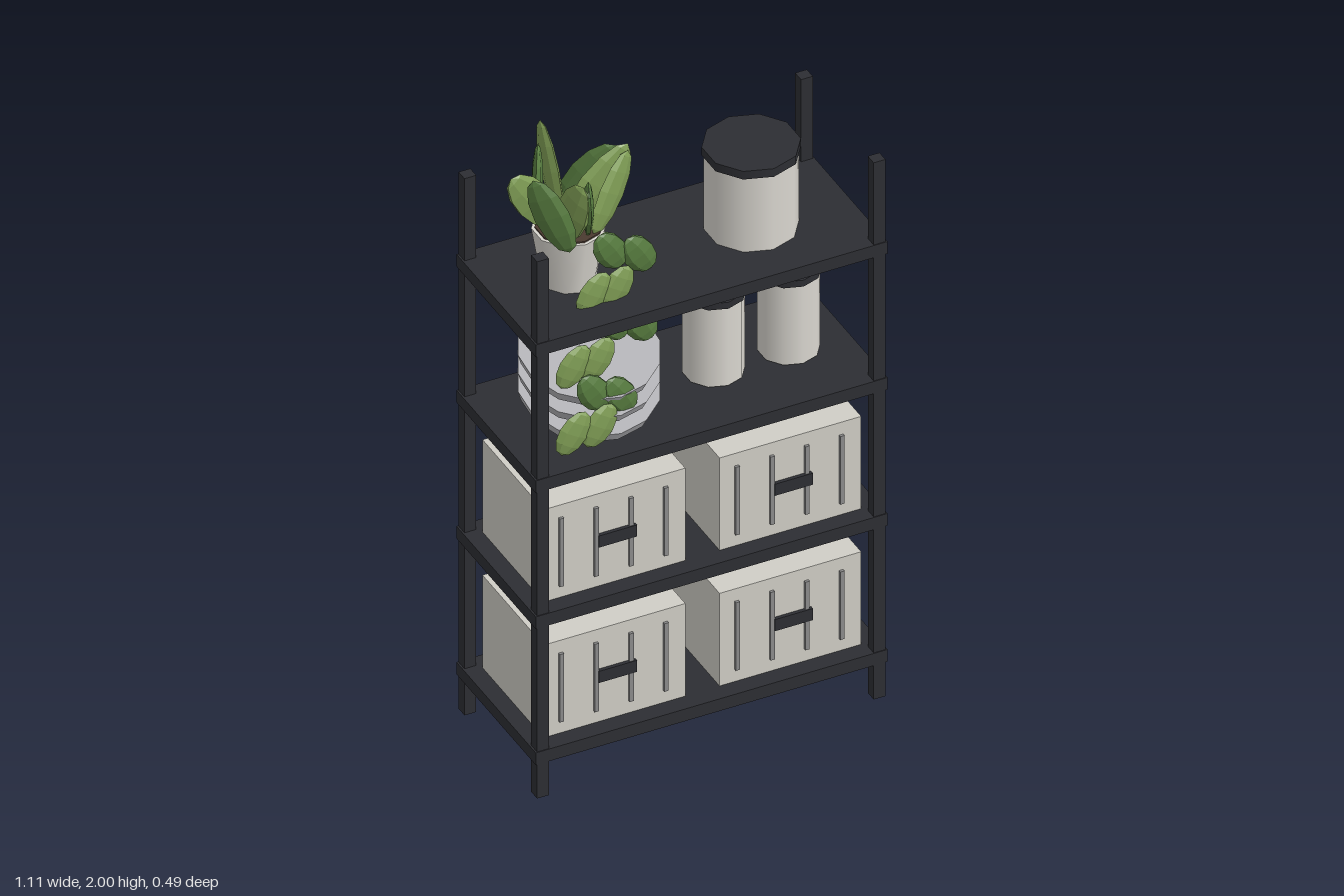
import * as THREE from 'three';

const mat = (color, flatShading = false) => new THREE.MeshStandardMaterial({ color, flatShading });

export function createModel() {
  const model = new THREE.Group();
  const dark = mat(0x2d2e33), cream = mat(0xd0cec6), ceramic = mat(0xdad7d0);
  const plateGrey = mat(0xb2b2b6), ribGrey = mat(0x8c8c8c), soilBrown = mat(0x4a3a30);
  const lightLeaf = mat(0x7f9d55, true), darkLeaf = mat(0x587d40, true);

  function add(parent, name, geometry, material, x, y, z) {
    const mesh = new THREE.Mesh(geometry, material);
    mesh.name = name;
    mesh.position.set(x, y, z);
    parent.add(mesh);
    return mesh;
  }
  function group(name, x, y, z) {
    const g = new THREE.Group();
    g.name = name;
    g.position.set(x, y, z);
    model.add(g);
    return g;
  }

  // Frame: four posts and four shelves
  const post = new THREE.BoxGeometry(0.037, 1.855, 0.037);
  for (const x of [-0.531, 0.531])
    for (const z of [-0.226, 0.226]) add(model, 'post', post, dark, x, 0.9275, z);
  const shelf = new THREE.BoxGeometry(1.11, 0.042, 0.494);
  for (const y of [0.14, 0.61, 1.08, 1.55]) add(model, 'shelf', shelf, dark, 0, y, 0);

  // Storage boxes with ribs and a handle on the front
  const crate = new THREE.BoxGeometry(0.447, 0.32, 0.381);
  const rib = new THREE.BoxGeometry(0.013, 0.235, 0.012);
  const handle = new THREE.BoxGeometry(0.12, 0.04, 0.018);
  for (const x of [-0.279, 0.276])
    for (const y of [0.322, 0.79]) {
      const g = group('storageBox', x, y, 0.002);
      add(g, 'boxBody', crate, cream, 0, 0, 0);
      for (const rx of [-0.17, -0.06, 0.05, 0.16]) add(g, 'rib', rib, ribGrey, rx, 0, 0.193);
      add(g, 'handle', handle, dark, 0.005, 0.002, 0.193);
    }

  // Jars: [name, x, base y, radius, body height, lid height]
  const jars = [
    ['largeJar', 0.25, 1.57, 0.136, 0.26, 0.028],
    ['smallJar', 0.131, 1.11, 0.09, 0.272, 0.022],
    ['smallJar', 0.368, 1.11, 0.09, 0.272, 0.022],
  ];
  for (const [name, x, y, r, h, lid] of jars) {
    const g = group(name, x, y, 0);
    add(g, 'jarBody', new THREE.CylinderGeometry(r, r, h, 10), ceramic, 0, h / 2, 0);
    add(g, 'jarLid', new THREE.CylinderGeometry(r * 1.04, r * 1.04, lid, 10), dark, 0, h + lid / 2 - 0.004, 0);
  }

  // Tilted stack of plates
  const plate = new THREE.CylinderGeometry(0.206, 0.195, 0.034, 14);
  for (let i = 0; i < 3; i++)
    add(model, 'plate', plate, plateGrey, -0.264, 1.171 + i * 0.063, 0).rotation.x = 0.21;

  // Plant pot with soil
  const plant = group('plant', 0, 0, 0);
  add(plant, 'pot', new THREE.CylinderGeometry(0.108, 0.078, 0.185, 10), ceramic, -0.325, 1.663, 0);
  add(plant, 'soil', new THREE.CylinderGeometry(0.098, 0.098, 0.012, 10), soilBrown, -0.325, 1.754, 0);

  // A leaf is a flattened low-poly ellipsoid: length along y, width along x, thin along z
  const leafShape = new THREE.SphereGeometry(0.5, 7, 6);
  function leaf(name, isDark, x, y, z, turn, lean, length, width) {
    const m = add(plant, name, leafShape, isDark ? darkLeaf : lightLeaf, x, y, z);
    m.scale.set(width, length, 0.034);
    m.rotation.set(0, turn, -lean, 'YXZ');
  }

  // Crown leaves: [x, y, z, tip direction x, tip direction z, lean, length, dark]
  const crown = [
    [-0.32, 1.862, -0.128, 0, -1, 0.44, 0.295, 0],
    [-0.375, 1.85, -0.1, 0.5, -0.85, 0.25, 0.24, 1],
    [-0.227, 1.85, -0.07, 0.78, 0.62, 0.6, 0.28, 1],
    [-0.43, 1.86, -0.02, -1, 0.15, 0.62, 0.26, 0],
    [-0.24, 1.868, 0, 1, 0.05, 0.72, 0.3, 0],
    [-0.215, 1.86, 0.045, 0.92, -0.38, 0.6, 0.26, 0],
    [-0.417, 1.86, 0.073, -0.72, -0.7, 0.45, 0.25, 1],
    [-0.35, 1.85, 0.075, 0.36, 0.93, 0.35, 0.23, 0],
    [-0.303, 1.85, 0.075, -0.41, 0.91, 0.4, 0.23, 1],
  ];
  for (const [x, y, z, dx, dz, lean, length, d] of crown)
    leaf('crownLeaf', d, x, y, z, Math.atan2(-dz, dx), lean, length, 0.115);

  // Trailing vine in pairs, swinging left and right: [x, y, dark]
  const vine = [
    [-0.257, 1.725, 1], [-0.17, 1.69, 1], [-0.318, 1.603, 0], [-0.247, 1.603, 0],
    [-0.265, 1.498, 1], [-0.18, 1.47, 1], [-0.395, 1.392, 0], [-0.32, 1.395, 0],
    [-0.335, 1.292, 1], [-0.256, 1.262, 1], [-0.408, 1.182, 0], [-0.325, 1.183, 0],
  ];
  for (const [x, y, d] of vine)
    leaf('vineLeaf', d, x, y, 0.125 + (1.73 - y) * 0.12, 0, d ? -0.55 : 0.55, 0.148, 0.098);

  return model;
}
